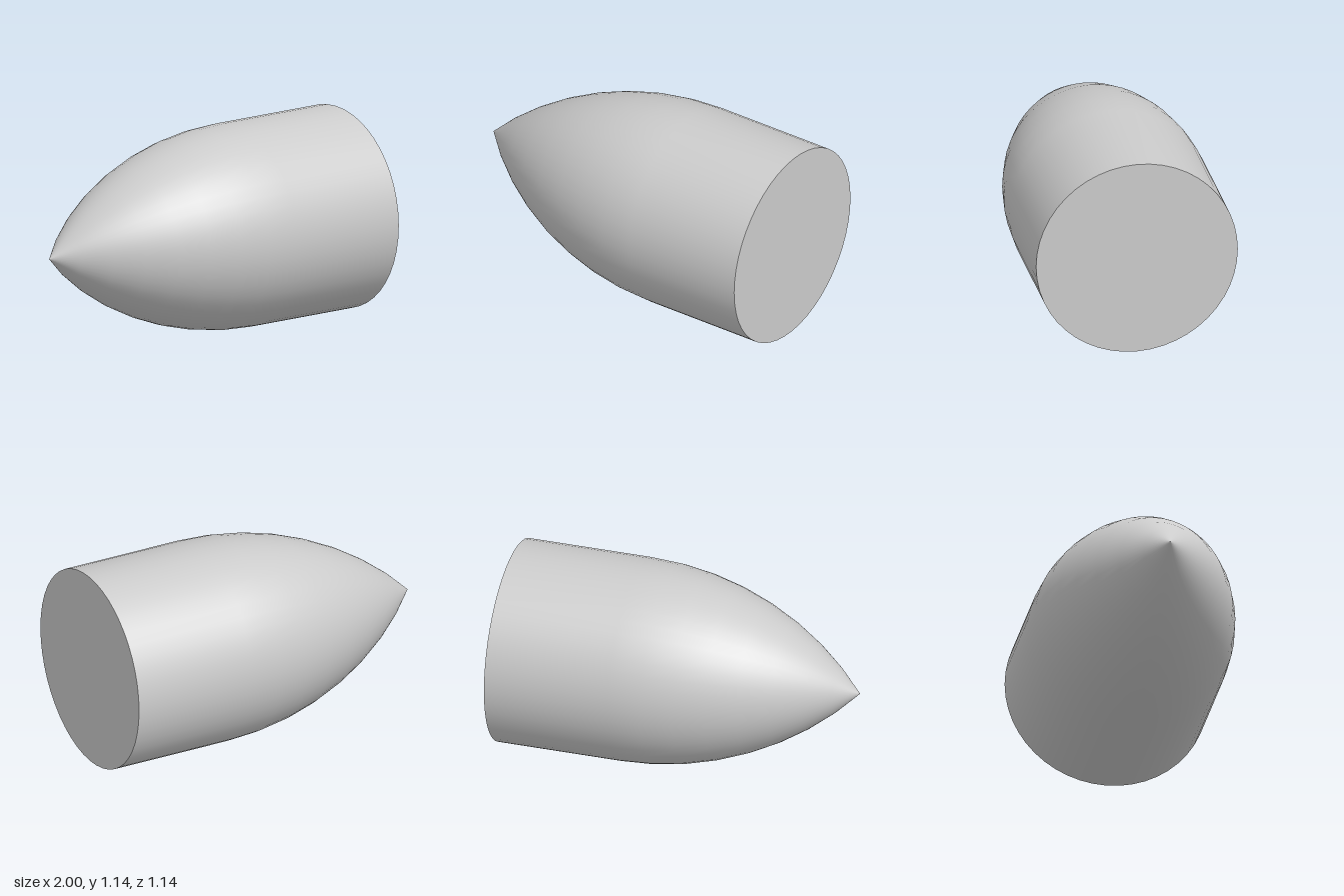
import * as THREE from 'three';

const RADIUS = 0.57;
const SHOULDER = 0.29; // x where the nose curve meets the straight body
const SIDES = 48;
const NOSE_STEPS = 8;

export function createModel() {
  const group = new THREE.Group();
  group.name = 'ogiveBody';
  const material = new THREE.MeshStandardMaterial({ color: 0xcccccc });

  // Profile from the flat base, along the straight body, then round a tangent arc to the tip
  const noseLength = 1 + SHOULDER;
  const arcRadius = (RADIUS ** 2 + noseLength ** 2) / (2 * RADIUS);
  const arcAngle = Math.asin(noseLength / arcRadius);
  const profile = [new THREE.Vector2(RADIUS, -1)];
  for (let i = 0; i <= NOSE_STEPS; i++) {
    const a = (arcAngle * i) / NOSE_STEPS;
    const r = RADIUS - arcRadius * (1 - Math.cos(a));
    profile.push(new THREE.Vector2(i === NOSE_STEPS ? 0 : r, arcRadius * Math.sin(a) - SHOULDER));
  }

  // Shell, laid on its side with the tip towards -x
  const shell = new THREE.Mesh(new THREE.LatheGeometry(profile, SIDES), material);
  shell.name = 'shell';
  shell.rotation.z = Math.PI / 2;
  shell.position.y = RADIUS;
  group.add(shell);

  // Flat end cap, separate so its rim stays sharp
  const base = new THREE.Mesh(new THREE.CircleGeometry(RADIUS, SIDES), material);
  base.name = 'baseCap';
  base.rotation.y = Math.PI / 2;
  base.position.set(1, RADIUS, 0);
  group.add(base);

  return group;
}
